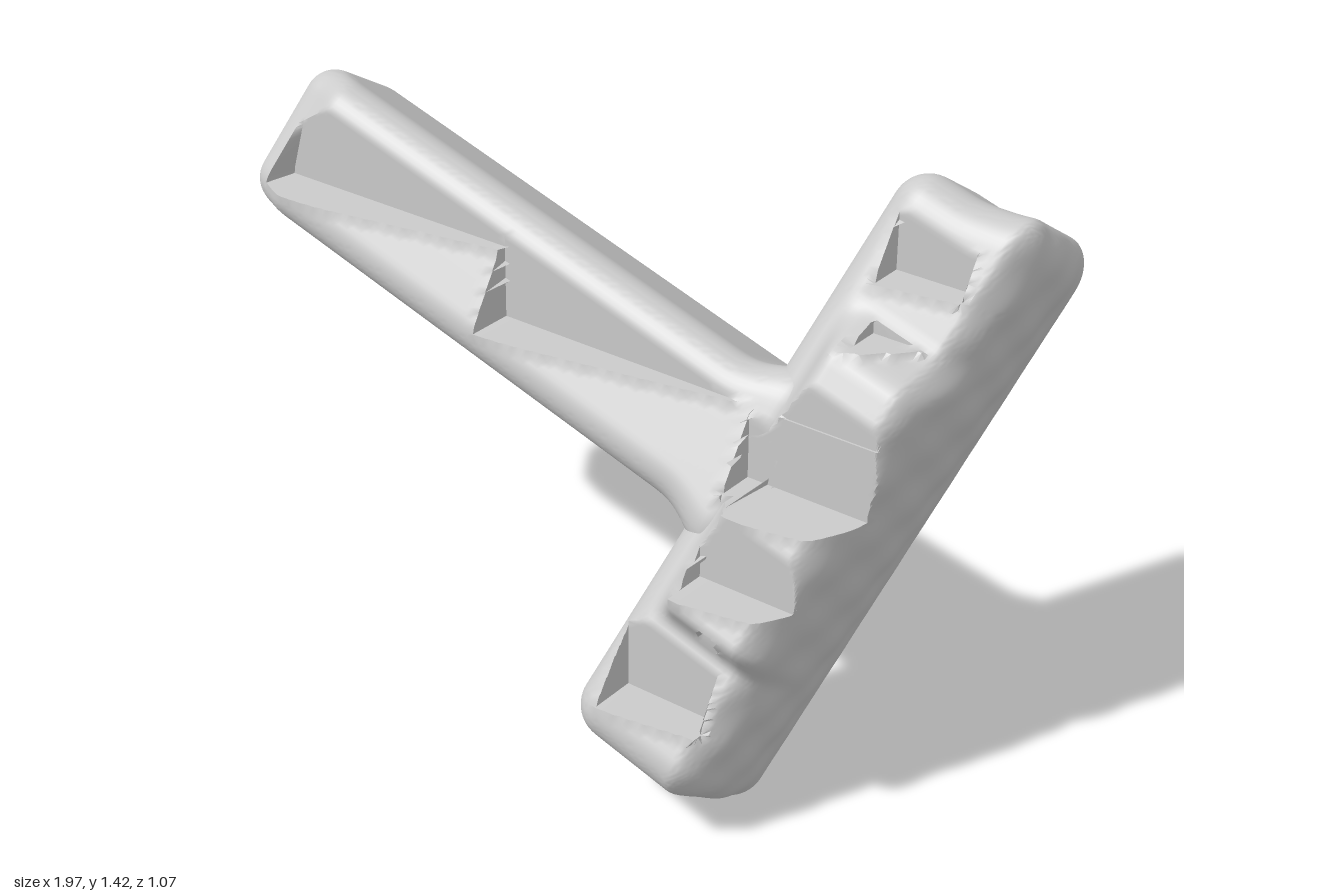
import * as THREE from 'three';
import { mergeVertices, toCreasedNormals } from 'three/addons/utils/BufferGeometryUtils.js';

// Tilted frame of the T: u across, v along the crossbar, w out of its front face
const U = new THREE.Vector3(0.955, -0.297, 0);
const V = new THREE.Vector3(0.244, 0.813, -0.528);
const W = new THREE.Vector3(0.157, 0.504, 0.849);
const frame = new THREE.Matrix4().makeBasis(U, V, W);

const smooth = THREE.MathUtils.smoothstep;
const CELL = 0.0125;
const SNAP = 0.014;

// Upright cuts in the front: inside x0..x1 and y0..y1 nothing stands before z
const steps = [
  { x0: -2, x1: -0.205, y0: 1.14, y1: 2, z: 0.12 },    // outer arm ledge
  { x0: -0.205, x1: 2, y0: 0.96, y1: 2, z: 0.12 },     // inner arm ledge
  { x0: 0.5, x1: 2, y0: 0.78, y1: 2, z: 0.125 },       // crossbar steps
  { x0: 0.5, x1: 2, y0: 0.605, y1: 2, z: 0.3 },
  { x0: 0.7, x1: 2, y0: 1.135, y1: 2, z: -0.05 },
  { x0: 0.67, x1: 0.87, y0: 1.23, y1: 2, z: -0.18 },   // upper end hollow
  { x0: 0.37, x1: 0.62, y0: 0.31, y1: 0.54, z: 0.39 }, // lower end hollow
];

// Cuts a point back to the steps and draws points near an edge onto that edge
function carve(p) {
  const { x, y, z } = p;
  for (const s of steps) {
    if (z <= s.z) continue;
    if (x < s.x0 - SNAP || x > s.x1 + SNAP || y < s.y0 - SNAP || y > s.y1 + SNAP) continue;
    for (const edge of [s.x0, s.x1]) if (Math.abs(x - edge) < SNAP) p.x = edge;
    if (Math.abs(y - s.y0) < SNAP) p.y = s.y0;
    if (x >= s.x0 && x <= s.x1 && y >= s.y0 && y <= s.y1) p.z = Math.min(p.z, s.z);
  }
}

// Finely divided rounded block between two corners of the tilted frame;
// shape() bends it there, then its front is carved beyond u = carveFrom.
function block(name, min, max, radius, shape, carveFrom, material) {
  const lo = new THREE.Vector3(...min), hi = new THREE.Vector3(...max);
  const size = hi.clone().sub(lo);
  const mid = hi.clone().add(lo).multiplyScalar(0.5);
  let geo = new THREE.BoxGeometry(size.x, size.y, size.z,
    Math.round(size.x / CELL), Math.round(size.y / CELL), Math.round(size.z / CELL));
  geo.translate(mid.x, mid.y, mid.z);
  geo.deleteAttribute('uv');
  geo.deleteAttribute('normal');
  geo = mergeVertices(geo, 1e-4);

  const innerLo = lo.clone().addScalar(radius), innerHi = hi.clone().subScalar(radius);
  const pos = geo.attributes.position;
  const p = new THREE.Vector3(), core = new THREE.Vector3();
  for (let i = 0; i < pos.count; i++) {
    p.fromBufferAttribute(pos, i);
    core.copy(p).clamp(innerLo, innerHi);
    p.sub(core).setLength(radius).add(core);
    shape(p);
    const u = p.x;
    p.applyMatrix4(frame);
    if (u > carveFrom) carve(p);
    pos.setXYZ(i, p.x, p.y, p.z);
  }
  const mesh = new THREE.Mesh(toCreasedNormals(geo, 0.7), material);
  mesh.name = name;
  return mesh;
}

export function createModel() {
  const group = new THREE.Group();
  group.name = 'tJoint';
  const material = new THREE.MeshStandardMaterial({ color: 0xcccccc, side: THREE.DoubleSide });

  // Crossbar: swollen outer front, raised top corner, chamfered and worn outer side
  const shapeBar = (p) => {
    const { x: u, y: v, z: w } = p;
    const outer = smooth(u, 0.45, 0.58);
    const bulge = smooth(v, 0.33, 0.39) * (1 - smooth(v, 1.03, 1.18)) * smooth(u, 0.25, 0.32);
    const worn = Math.sin(v * 41 + w * 17) * Math.sin(w * 33 - v * 13);
    p.x += outer * (0.004 * worn * smooth(w, 0.3, 0.4) - 0.04 * smooth(w, 0.42, 0.65));
    p.y += 0.035 * smooth(v, 1.3, 1.49) * smooth(u, 0.35, 0.55);
    p.z += 0.09 * bulge * smooth(w, 0.4, 0.64);
  };
  group.add(block('crossbar', [0.19, 0.005, 0.255], [0.585, 1.49, 0.65], 0.085,
    shapeBar, -2, material));

  // Arm, flared where it meets the crossbar; its worn end keeps an uncut rim
  const shapeArm = (p) => {
    const flare = smooth(p.x, 0.06, 0.26);
    p.z -= 0.045 * smooth(-p.x, 1.1, 1.2) * smooth(p.z, 0.4, 0.6);
    p.y += (p.y - 0.735) * 0.3 * flare * flare;
  };
  group.add(block('arm', [-1.25, 0.55, 0.257], [0.32, 0.92, 0.66], 0.075,
    shapeArm, -1.18, material));

  return group;
}
